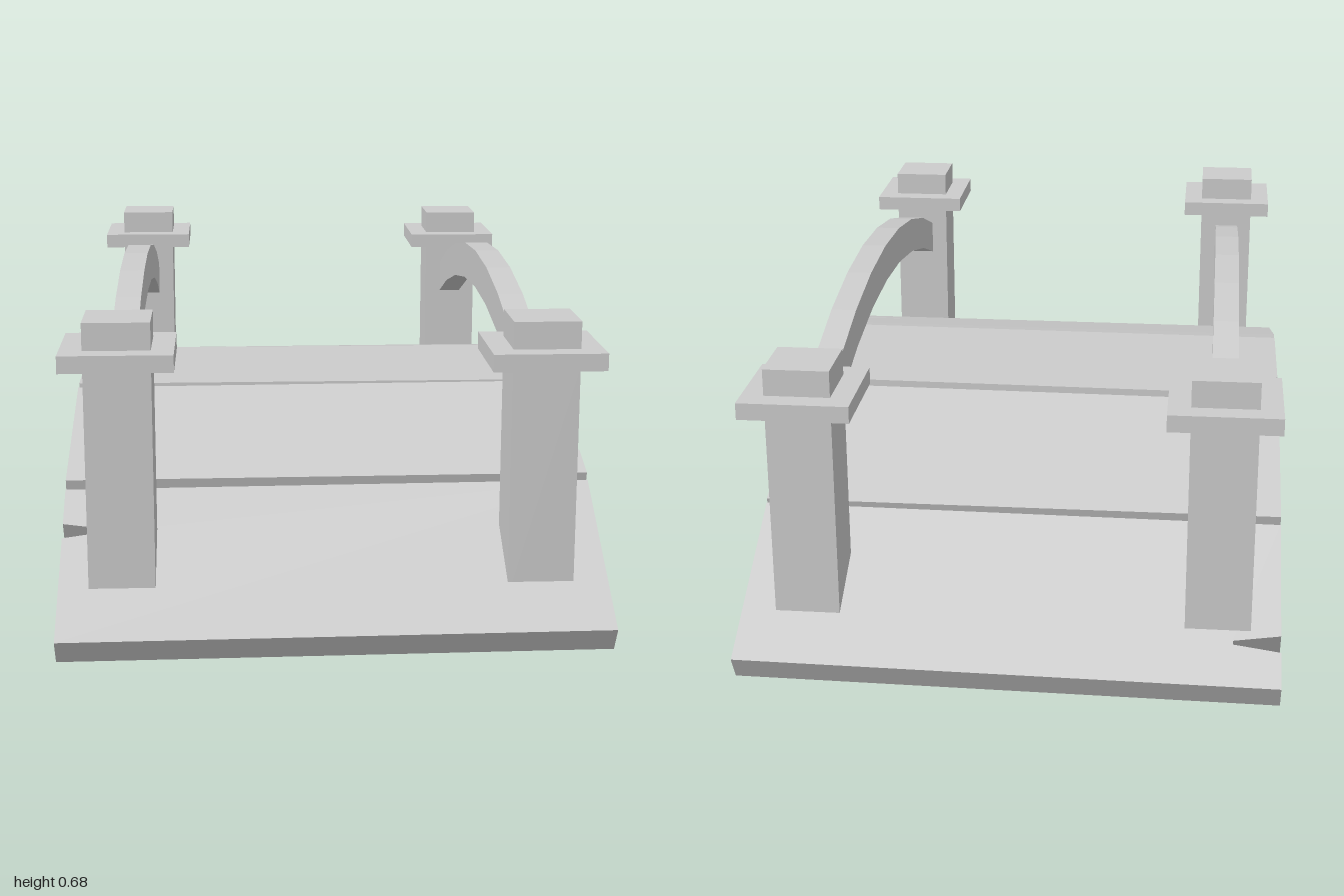
import * as THREE from 'three';

const material = new THREE.MeshStandardMaterial({ color: 0xcccccc, flatShading: true });

function addMesh(parent, name, geometry) {
  const mesh = new THREE.Mesh(geometry, material);
  mesh.name = name;
  parent.add(mesh);
  return mesh;
}

// Plank laid from its front top edge to its back top edge, with a crack cut into one side
function addPlank(parent, { front, back, side, crackZ, depth, skew }) {
  const w = 0.572, t = 0.062;
  const dz = back[0] - front[0], dy = back[1] - front[1];
  const length = Math.hypot(dz, dy);
  const s = (crackZ - front[0]) / dz * length;
  const crack = [[w, s - 0.02], [w - depth, s - 0.004], [w - depth, s + 0.005], [w, s + 0.02]];
  const outline = [[-w, 0], [w, skew[0]]];
  if (side > 0) outline.push(...crack);
  outline.push([w, length + skew[1]], [-w, length]);
  if (side < 0) outline.push(...crack.map(([x, y]) => [-x, y]).reverse());

  const shape = new THREE.Shape(outline.map(([x, y]) => new THREE.Vector2(x, y)));
  const plank = addMesh(parent, 'deckPlank',
    new THREE.ExtrudeGeometry(shape, { depth: t, bevelEnabled: false }));
  plank.rotation.x = Math.atan2(dz, dy);
  plank.position.set(0, front[1] + t * dz / length, front[0] - t * dy / length);
}

// Points of a circular arc spanning -half..half, falling by drop at both ends
function arcPoints(half, top, drop) {
  const n = 8, radius = (half * half + drop * drop) / (2 * drop);
  const sweep = Math.asin(half / radius);
  return Array.from({ length: n + 1 }, (_, i) => {
    const angle = sweep * (2 * i / n - 1);
    return new THREE.Vector2(radius * Math.sin(angle), top - radius * (1 - Math.cos(angle)));
  });
}

// Arched bar running along z
function archGeometry(width, half, top, topDrop, bottom, bottomDrop) {
  const outline = [...arcPoints(half, bottom, bottomDrop), ...arcPoints(half, top, topDrop).reverse()];
  const geometry = new THREE.ExtrudeGeometry(new THREE.Shape(outline),
    { depth: width, bevelEnabled: false });
  return geometry.translate(0, 0, -width / 2).rotateY(-Math.PI / 2);
}

// Square post with a wide cap and a small block on top
function addPost(parent, x, z, height) {
  const post = new THREE.Group();
  post.name = 'post';
  const blocks = [
    ['postShaft', 0.138, 0.095, height - 0.093],
    ['postCap', 0.232, height - 0.093, height - 0.057],
    ['postTop', 0.138, height - 0.057, height],
  ];
  for (const [name, width, y0, y1] of blocks) {
    addMesh(post, name, new THREE.BoxGeometry(width, y1 - y0, width)).position.y = (y0 + y1) / 2;
  }
  post.position.set(x, 0, z);
  parent.add(post);
}

export function createModel() {
  const bridge = new THREE.Group();
  bridge.name = 'bridge';

  // Deck: five planks following the arch, [z, y] along the top surface
  const planks = [
    { front: [1.0, 0.055], back: [0.643, 0.27], side: -1, crackZ: 0.745, depth: 0.09, skew: [0.008, 0.008] },
    { front: [0.63, 0.287], back: [0.235, 0.402], side: 1, crackZ: 0.515, depth: 0.11, skew: [0.004, 0.008] },
    { front: [0.205, 0.404], back: [-0.205, 0.404], side: -1, crackZ: -0.11, depth: 0.09, skew: [-0.007, -0.012] },
    { front: [-0.232, 0.398], back: [-0.622, 0.277], side: 1, crackZ: -0.345, depth: 0.11, skew: [-0.008, 0.004] },
    { front: [-0.635, 0.264], back: [-1.0, 0.066], side: -1, crackZ: -0.905, depth: 0.1, skew: [-0.006, -0.01] },
  ];
  planks.forEach((plank) => addPlank(bridge, plank));

  // Each side: support beam, handrail and two posts
  for (const [x, height] of [[-0.44, 0.685], [0.43, 0.679]]) {
    addMesh(bridge, 'supportBeam', archGeometry(0.09, 0.745, 0.36, 0.2, 0.24, 0.21)).position.x = x;
    addMesh(bridge, 'handrail', archGeometry(0.057, 0.76, 0.685, 0.155, 0.595, 0.15)).position.x = x;
    for (const z of [0.812, -0.81]) addPost(bridge, x, z, height);
  }
  return bridge;
}
